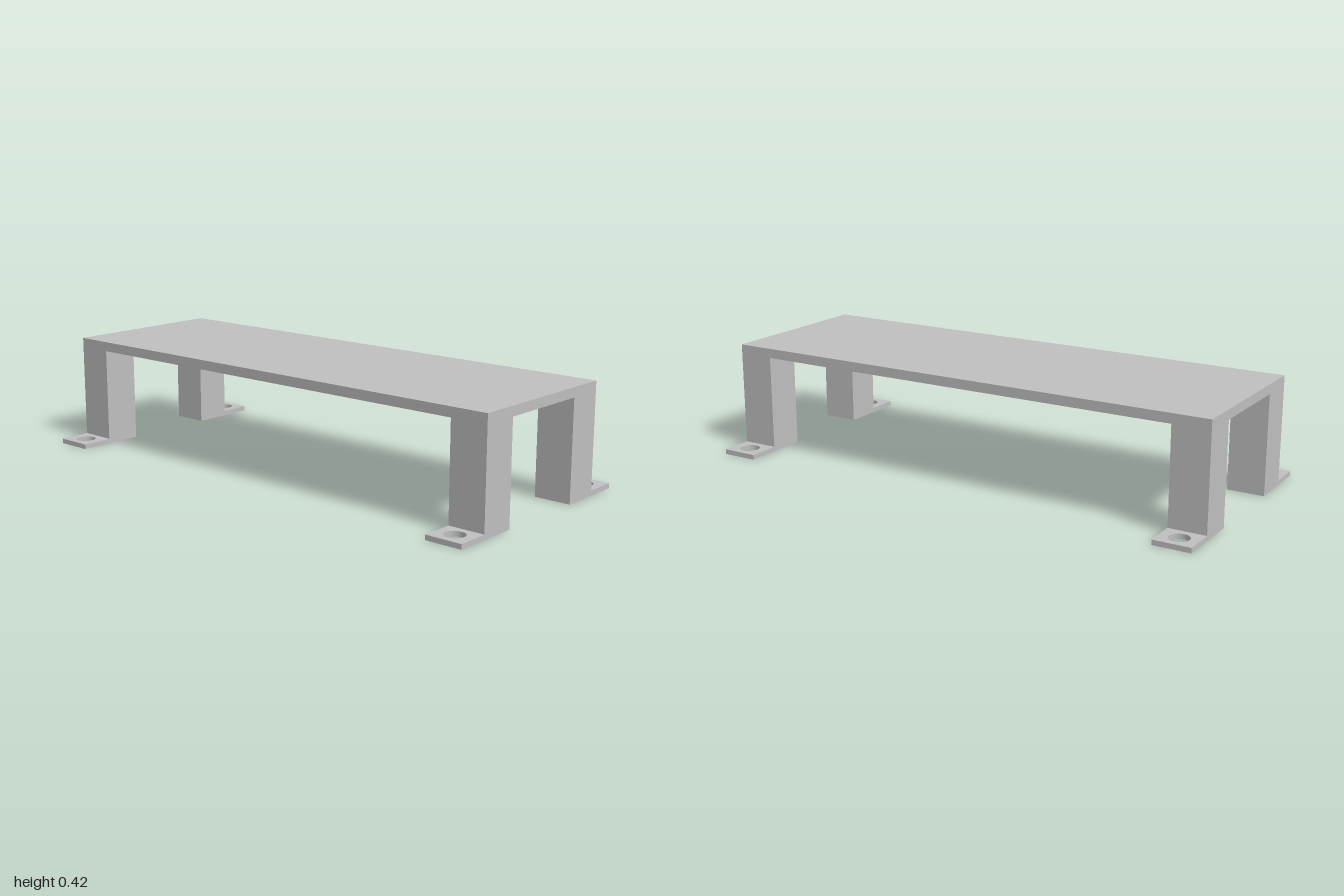
import * as THREE from 'three';

export function createModel() {
  const model = new THREE.Group();
  const grey = new THREE.MeshStandardMaterial({ color: 0xbfbfbf });
  grey.name = 'light grey';

  const add = (name, geometry, x, y, z) => {
    const mesh = new THREE.Mesh(geometry, grey);
    mesh.name = name;
    mesh.position.set(x, y, z);
    model.add(mesh);
  };

  const legSize = 0.143, footLength = 0.125, footHeight = 0.019;
  const halfDepth = 0.33, topHeight = 0.42, topThickness = 0.037;
  const legHeight = topHeight - topThickness;

  // Flat top plate
  add('topPlate', new THREE.BoxGeometry(2, topThickness, halfDepth * 2), 0, topHeight - topThickness / 2, 0);

  // Mounting foot with a round screw hole
  const outline = new THREE.Shape([
    new THREE.Vector2(-legSize / 2, -footLength / 2),
    new THREE.Vector2(legSize / 2, -footLength / 2),
    new THREE.Vector2(legSize / 2, footLength / 2),
    new THREE.Vector2(-legSize / 2, footLength / 2),
  ]);
  const hole = new THREE.Path();
  hole.absarc(0, 0, 0.038, 0, Math.PI * 2, true);
  outline.holes.push(hole);
  const footGeometry = new THREE.ExtrudeGeometry(outline, { depth: footHeight, bevelEnabled: false, curveSegments: 32 });
  footGeometry.rotateX(-Math.PI / 2);

  // Square legs at the corners, each with a foot pointing outward
  const legGeometry = new THREE.BoxGeometry(legSize, legHeight, legSize);
  for (const [side, sx] of [['Left', 1], ['Right', -1]]) {
    for (const [end, sz] of [['front', 1], ['back', -1]]) {
      const x = sx * (1 - legSize / 2);
      add(`${end}${side}Leg`, legGeometry, x, legHeight / 2, sz * (halfDepth - legSize / 2));
      add(`${end}${side}Foot`, footGeometry, x, 0, sz * (halfDepth + footLength / 2));
    }
  }
  return model;
}
